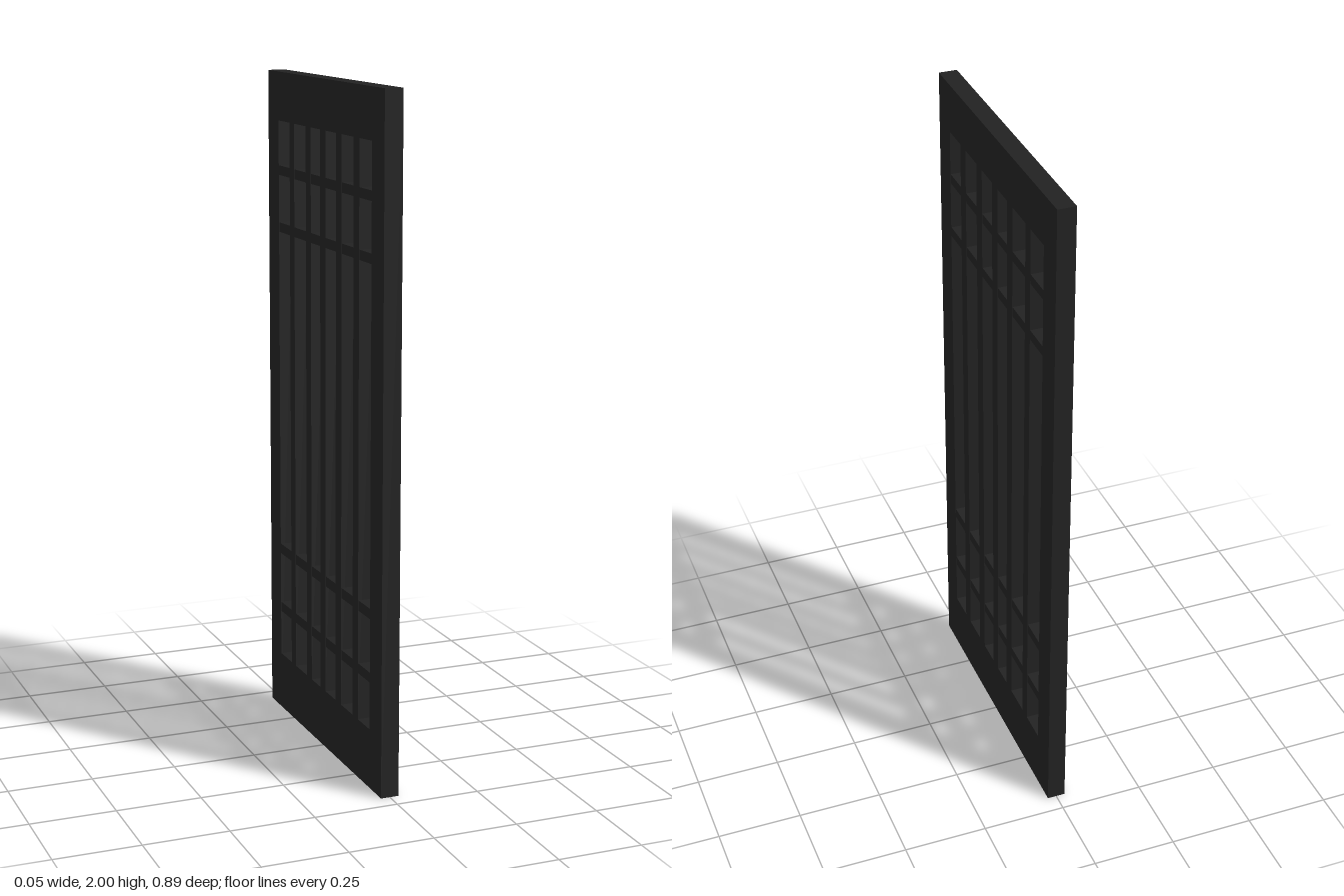
import * as THREE from 'three';

// Flat lattice door panel standing in the y-z plane.
const DEPTH = 0.054, HALF = 0.446, INNER = 0.36, HEIGHT = 2;
const OPEN_BOTTOM = 0.178, OPEN_TOP = 1.855;

export function createModel() {
  const model = new THREE.Group();
  model.name = 'latticePanel';
  const charcoal = new THREE.MeshStandardMaterial({ color: 0x222222 });
  charcoal.name = 'charcoal';

  // Box given by its y and z limits, centred on x = 0
  const slab = (name, y0, y1, z0, z1, depth = DEPTH) => {
    const mesh = new THREE.Mesh(new THREE.BoxGeometry(depth, y1 - y0, z1 - z0), charcoal);
    mesh.position.set(0, (y0 + y1) / 2, (z0 + z1) / 2);
    mesh.name = name;
    model.add(mesh);
  };

  // Outer frame
  slab('frontStile', 0, HEIGHT, INNER, HALF);
  slab('backStile', 0, HEIGHT, -HALF, -INNER);
  slab('topRail', OPEN_TOP, HEIGHT, -INNER, INNER);
  slab('bottomRail', 0, OPEN_BOTTOM, -INNER, INNER);

  // Upright bars: [z start, z end]
  const uprights = [[0.231, 0.272], [0.1, 0.143], [-0.021, 0.02], [-0.135, -0.095], [-0.267, -0.23]];
  uprights.forEach(([z0, z1], i) => slab(`uprightBar${i + 1}`, OPEN_BOTTOM, OPEN_TOP, z0, z1));

  // Cross bars: [y start, y end], a hair thinner so they pass cleanly through the uprights
  const crossBars = [[0.318, 0.348], [0.507, 0.538], [1.52, 1.549], [1.692, 1.721]];
  crossBars.forEach(([y0, y1], i) => slab(`crossBar${i + 1}`, y0, y1, -INNER, INNER, DEPTH - 0.002));

  return model;
}
